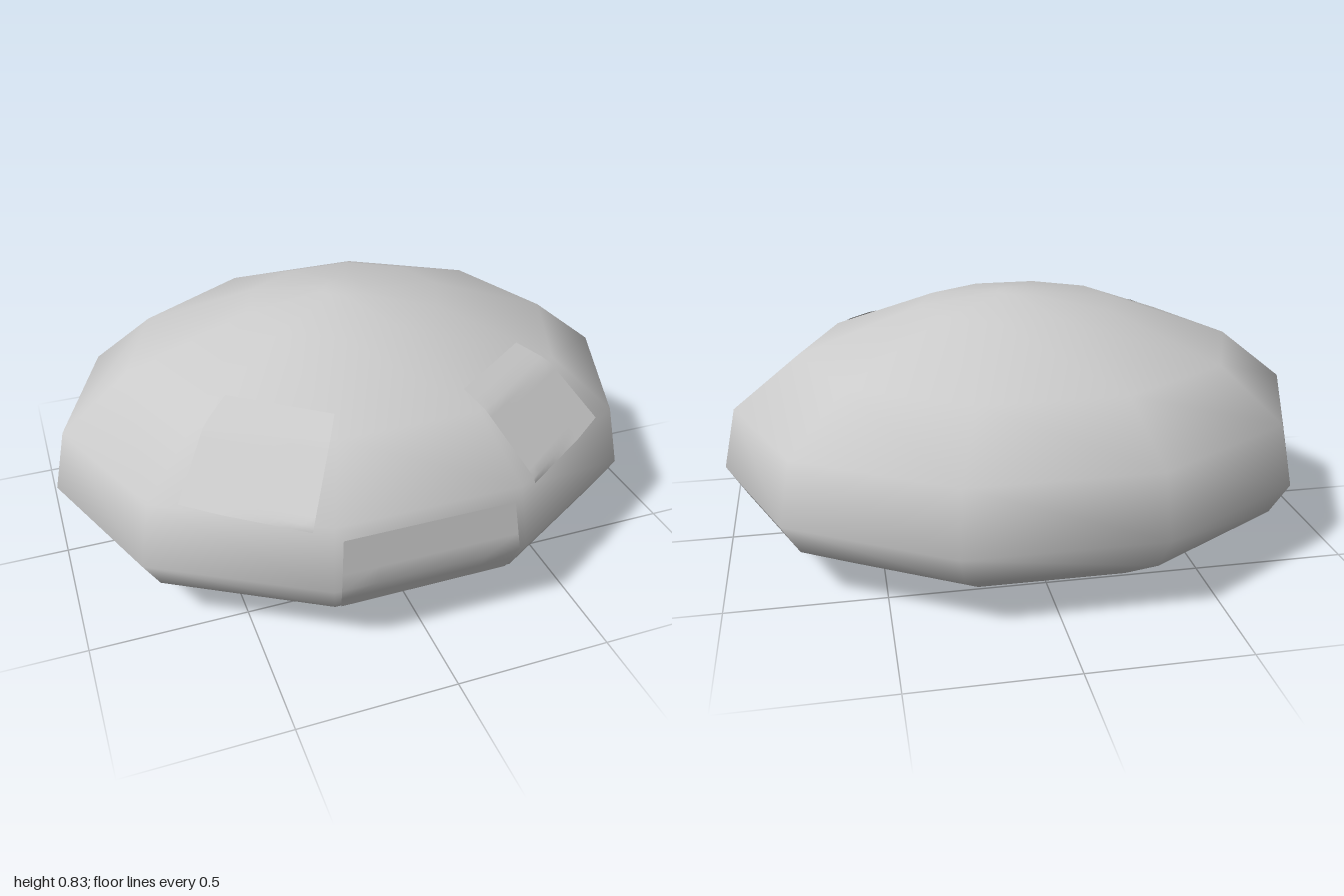
import * as THREE from 'three';

// Body profile: [radius, height] from the base to the crown
const PROFILE = [
  [0, 0], [0.4, 0], [0.75, 0.06], [0.935, 0.16], [1, 0.265],
  [0.955, 0.47], [0.735, 0.645], [0.33, 0.793], [0.07, 0.83], [0, 0.83],
];
const SIDES = 10;
const DEPTH = 0.826; // z radius relative to x radius

const grey = new THREE.MeshStandardMaterial({ color: 0xcccccc });
const greyThin = new THREE.MeshStandardMaterial({ color: 0xcccccc, side: THREE.DoubleSide });

// Moves a point outward onto the faceted body, keeping its height and bearing
function ontoBody(p, lift) {
  const i = PROFILE.findIndex((q, k) => k > 1 && q[1] >= p.y);
  const [r0, y0] = PROFILE[i - 1], [r1, y1] = PROFILE[i];
  const ring = THREE.MathUtils.mapLinear(p.y, y0, y1, r0, r1);
  const angle = Math.atan2(p.z / DEPTH, p.x);
  const step = (2 * Math.PI) / SIDES;
  const within = THREE.MathUtils.euclideanModulo(angle, step) - step / 2;
  const r = ring * Math.cos(step / 2) / Math.cos(within);
  const q = new THREE.Vector3(r * Math.cos(angle), p.y - 0.25, r * Math.sin(angle) * DEPTH);
  q.multiplyScalar(1 + lift);
  q.y += 0.25;
  return q;
}

// Thin panel hugging the body; corners run bottom left, bottom right, top right, top left
function panel(name, corners, n, lift) {
  const [a, b, c, d] = corners.map((v) => new THREE.Vector3(...v));
  const geometry = new THREE.PlaneGeometry(1, 1, n, n);
  const pos = geometry.attributes.position;
  for (let i = 0; i < pos.count; i++) {
    const u = pos.getX(i) + 0.5, v = pos.getY(i) + 0.5;
    const low = a.clone().lerp(b, u), high = d.clone().lerp(c, u);
    const q = ontoBody(low.lerp(high, v), lift);
    pos.setXYZ(i, q.x, q.y, q.z);
  }
  geometry.computeVertexNormals();
  const mesh = new THREE.Mesh(geometry, greyThin);
  mesh.name = name;
  return mesh;
}

export function createModel() {
  const group = new THREE.Group();
  group.name = 'domedBody';

  // Smooth-shaded ten-sided shell, flattened front to back
  const shell = new THREE.LatheGeometry(
    PROFILE.map(([r, y]) => new THREE.Vector2(r, y)), SIDES, Math.PI / 2);
  shell.scale(1, 1, DEPTH);
  const body = new THREE.Mesh(shell, grey);
  body.name = 'body';
  group.add(body);

  // Pair of eye panels
  const eye = [[0.355, 0.45, 0.735], [0.69, 0.48, 0.51], [0.52, 0.69, 0.33], [0.215, 0.68, 0.52]];
  const mirrored = [1, 0, 3, 2].map((k) => [-eye[k][0], eye[k][1], eye[k][2]]);
  group.add(panel('leftEye', eye, 12, 0.008), panel('rightEye', mirrored, 12, 0.008));

  // Mouth panel, folded over the widest ring
  const mouth = [[-0.27, 0.16, 0.735], [0.27, 0.16, 0.735], [0.27, 0.425, 0.757], [-0.27, 0.425, 0.757]];
  group.add(panel('mouth', mouth, 5, 0.005));

  return group;
}
